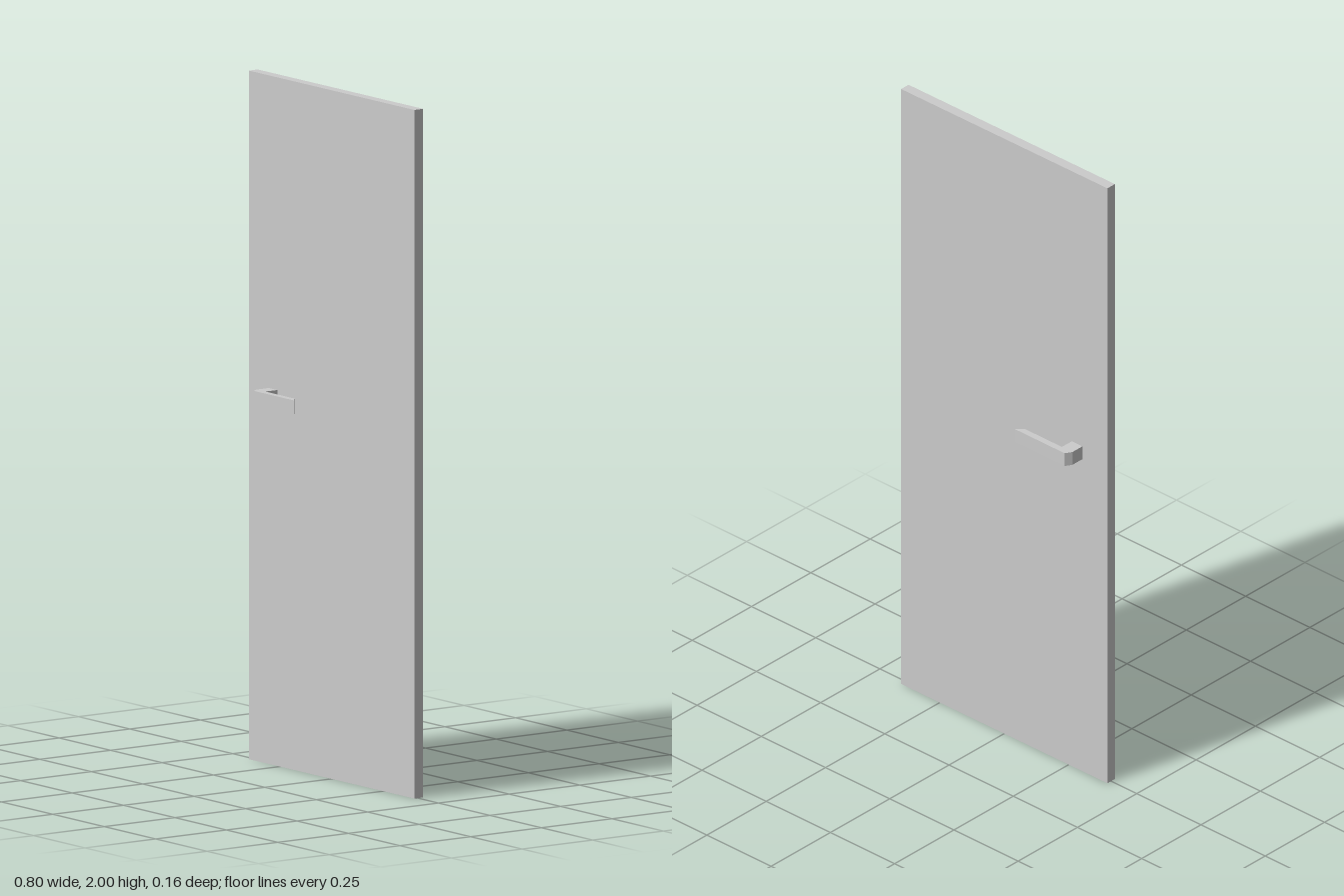
import * as THREE from 'three';

const material = new THREE.MeshStandardMaterial({ color: 0xcccccc, flatShading: true });

// Extrudes a plan outline of [x, z] points downward from the height yTop
function extrudePlan(name, points, yTop, height) {
  const shape = new THREE.Shape(points.map(([x, z]) => new THREE.Vector2(x, z)));
  const geometry = new THREE.ExtrudeGeometry(shape, { depth: height, bevelEnabled: false });
  geometry.rotateX(Math.PI / 2);
  geometry.translate(0, yTop, 0);
  const mesh = new THREE.Mesh(geometry, material);
  mesh.name = name;
  return mesh;
}

export function createModel() {
  const door = new THREE.Group();
  door.name = 'door';

  // Door leaf, very slightly out of square with the x axis
  door.add(extrudePlan('doorPanel', [
    [-0.4, 0.016], [0.4, 0.0125], [0.4, -0.019], [-0.4, -0.0155],
  ], 2, 2));

  // Lever handle on each face: stem, chamfered corner, grip with a slanted tip
  const lever = [
    [-0.303, 0.01], [-0.262, 0.01], [-0.262, 0.058], [-0.12, 0.058],
    [-0.096, 0.078], [-0.291, 0.078], [-0.303, 0.058],
  ];
  for (const [name, side] of [['frontHandle', 1], ['backHandle', -1]]) {
    door.add(extrudePlan(name, lever.map(([x, z]) => [x, z * side]), 1.092, 0.043));
  }

  return door;
}
